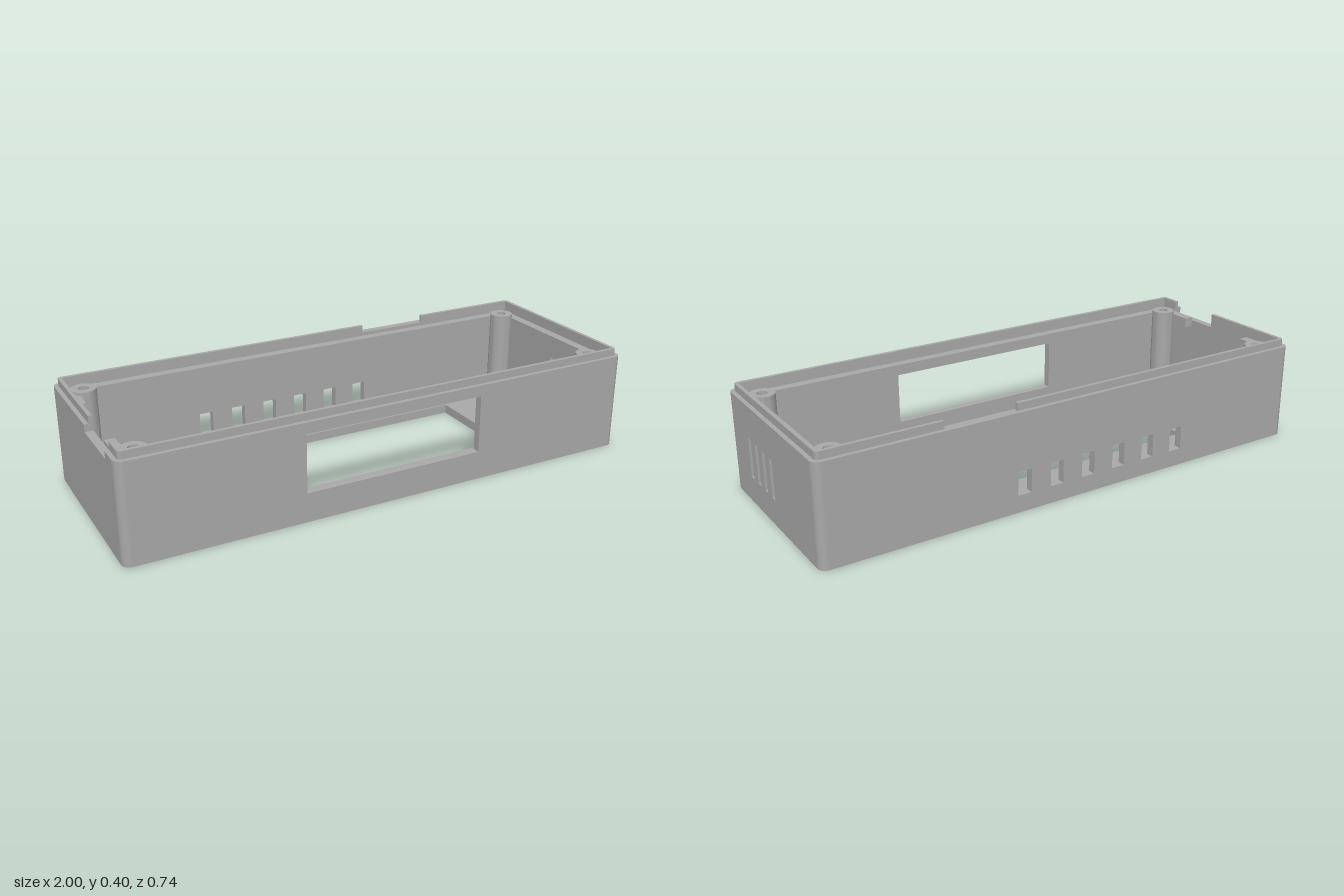
import * as THREE from 'three';
import { toCreasedNormals } from 'three/addons/utils/BufferGeometryUtils.js';

const W = 1, D = 0.372, H = 0.372, T = 0.03, TOP = 0.4, FLOOR = 0.035;
const IX = W - T, IZ = D - T, LIP = 0.014;

export function createModel() {
  const group = new THREE.Group();
  const grey = new THREE.MeshStandardMaterial({ color: 0xa8a8a8 });
  grey.name = 'grey plastic';

  const add = (name, geometry) => {
    const mesh = new THREE.Mesh(geometry, grey);
    mesh.name = name;
    group.add(mesh);
    return mesh;
  };
  // Box given by its limits on each axis
  const bar = (name, x0, x1, y0, y1, z0, z1) =>
    add(name, new THREE.BoxGeometry(x1 - x0, y1 - y0, z1 - z0))
      .position.set((x0 + x1) / 2, (y0 + y1) / 2, (z0 + z1) / 2);
  const outline = (points) => points.map(([x, y]) => new THREE.Vector2(x, y));
  const rect = (x0, x1, y0, y1) => [[x0, y0], [x1, y0], [x1, y1], [x0, y1]];
  // Flat plate with rectangular openings
  const plate = (name, points, holes, depth) => {
    const shape = new THREE.Shape(outline(points));
    holes.forEach((h) => shape.holes.push(new THREE.Path(outline(h))));
    return add(name, new THREE.ExtrudeGeometry(shape, { depth, bevelEnabled: false }));
  };

  // Floor with the large display opening
  const floor = plate('floor', rect(-IX, IX, -IZ, IZ), [rect(-0.6, 0.59, -0.2, 0.21)], FLOOR);
  floor.rotation.x = -Math.PI / 2;

  // Front wall with window
  plate('frontWall', rect(-IX, IX, 0, H), [rect(-0.35, 0.35, 0.11, 0.33)], T).position.z = IZ;

  // Back wall with a row of six vents
  const vents = [];
  for (let i = 0; i < 6; i++) {
    const x = -0.432 + i * 0.1345;
    vents.push(rect(x - 0.027, x + 0.027, 0.065, 0.155));
  }
  plate('backWall', rect(-IX, IX, 0, H), vents, T).position.z = -D;

  // Left end wall with four tall slots
  const slots = [];
  for (let i = 0; i < 4; i++) {
    const z = i * 0.0645;
    slots.push(rect(z - 0.013, z + 0.013, 0.1, 0.247));
  }
  const leftWall = plate('leftWall', rect(-IZ, IZ, 0, H), slots, T);
  leftWall.rotation.y = -Math.PI / 2;
  leftWall.position.x = W;

  // Right end wall with a shallow notch in its top edge
  const rightWall = plate('rightWall', [
    [-IZ, 0], [IZ, 0], [IZ, H], [0.27, H], [0.27, 0.345], [0.04, 0.345], [0.04, H], [-IZ, H],
  ], [], T);
  rightWall.rotation.y = -Math.PI / 2;
  rightWall.position.x = -IX;

  // Rounded corners of the walls and of the lip
  [[1, 1, 0], [1, -1, 1], [-1, -1, 2], [-1, 1, 3]].forEach(([sx, sz, k]) => {
    const quarter = (name, r, y0, y1) =>
      add(name, new THREE.CylinderGeometry(r, r, y1 - y0, 10, 1, false, k * Math.PI / 2, Math.PI / 2))
        .position.set(sx * IX, (y0 + y1) / 2, sz * IZ);
    quarter('wallCorner', T, 0, H);
    quarter('lipCorner', LIP, H, TOP);
  });

  // Raised lip, broken at the back and at the right end
  bar('frontLip', -IX, IX, H, TOP, IZ, IZ + LIP);
  bar('backLip', -IX, 0.26, H, TOP, -IZ - LIP, -IZ);
  bar('backLip', 0.54, IX, H, TOP, -IZ - LIP, -IZ);
  bar('leftLip', IX, IX + LIP, H, TOP, -IZ, IZ);
  bar('rightLip', -IX - LIP, -IX, H, TOP, -IZ, 0.04);
  bar('rightLip', -IX - LIP, -IX, H, TOP, 0.27, IZ);

  // Inner ledge below the rim, open in the middle of the right end
  const L0 = 0.318, L1 = 0.358, LX = 0.933, LZ = 0.306;
  bar('frontLedge', -IX, IX, L0, L1, LZ, IZ);
  bar('backLedge', -IX, IX, L0, L1, -IZ, -LZ);
  bar('leftLedge', LX, IX, L0, L1, -LZ, LZ);
  bar('rightLedge', -IX, -LX, L0, L1, -LZ, -0.17);
  bar('rightLedge', -IX, -LX, L0, L1, 0.16, LZ);

  // Small rib at the end of the floor opening
  bar('floorRib', -0.62, -0.585, FLOOR - 0.01, 0.07, -0.16, 0.15);

  // Hollow screw posts
  const ring = new THREE.Shape().absarc(0, 0, 0.046, 0, Math.PI * 2);
  ring.holes.push(new THREE.Path().absarc(0, 0, 0.019, 0, Math.PI * 2));
  const post = toCreasedNormals(new THREE.ExtrudeGeometry(ring, {
    depth: 0.37 - FLOOR, bevelEnabled: false, curveSegments: 32,
  }), 0.6).rotateX(-Math.PI / 2);
  for (const x of [-0.91, 0.91]) {
    for (const z of [-0.285, 0.28]) add('screwPost', post).position.set(x, FLOOR, z);
  }
  return group;
}
